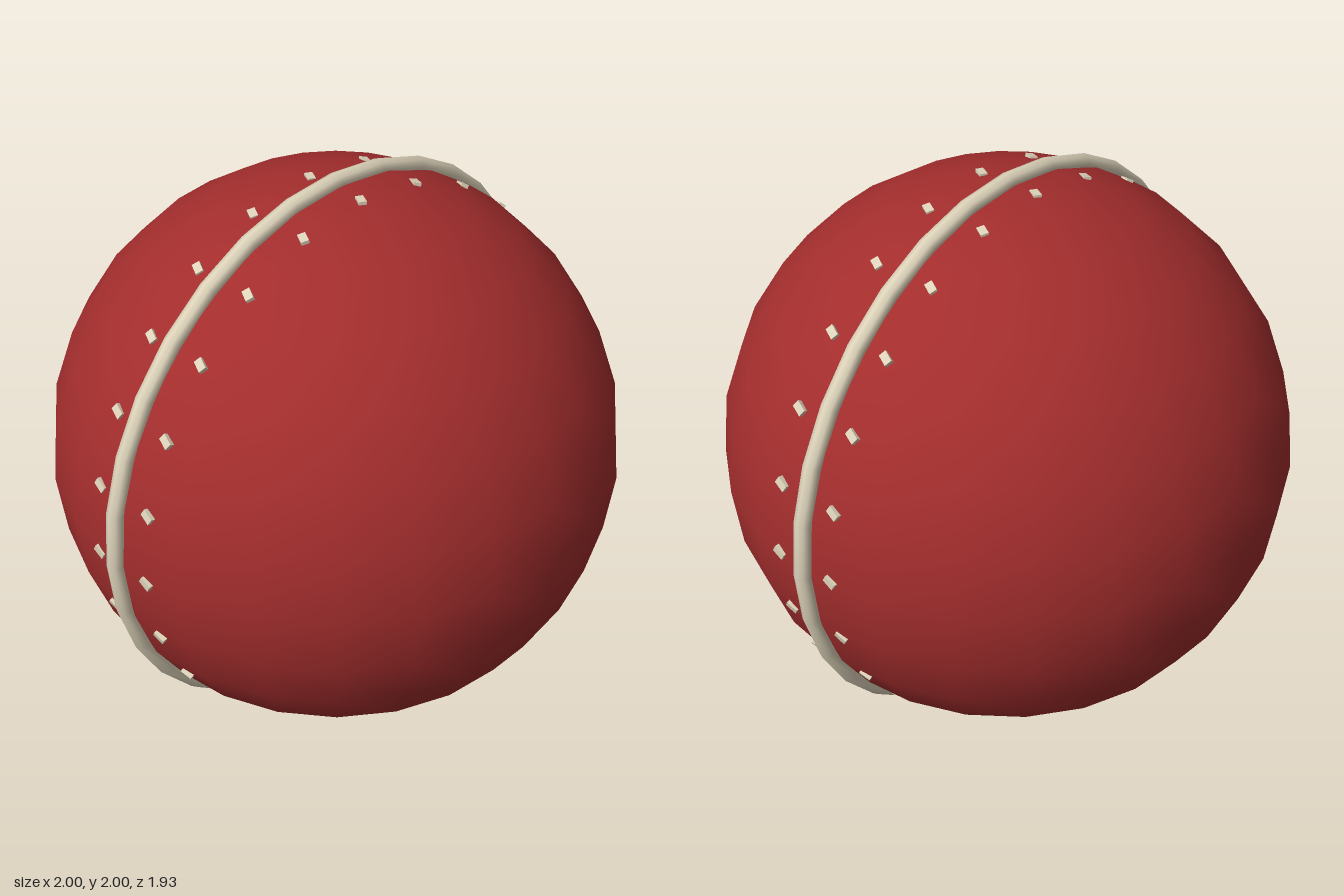
import * as THREE from 'three';

export function createModel() {
  const red = new THREE.MeshStandardMaterial({ color: 0xa32d2d });
  red.name = 'red leather';
  const cream = new THREE.MeshStandardMaterial({ color: 0xdcd2b9 });
  cream.name = 'cream thread';

  const model = new THREE.Group();
  model.name = 'ball';

  const add = (name, geometry, material, parent = model) => {
    const mesh = new THREE.Mesh(geometry, material);
    mesh.name = name;
    parent.add(mesh);
    return mesh;
  };

  // Leather body and raised seam around it
  add('body', new THREE.SphereGeometry(0.965, 24, 14), red).position.y = 1;
  add('seam', new THREE.TorusGeometry(0.97, 0.03, 8, 32), cream).position.y = 1;

  // Two rows of slanted stitches, one on each side of the seam
  const stitchGeometry = new THREE.BoxGeometry(0.022, 0.026, 0.042);
  const count = 24;
  for (const [name, z] of [['frontStitches', 0.122], ['backStitches', -0.1]]) {
    const row = new THREE.Group();
    row.name = name;
    row.position.set(0, 1, z);
    for (let i = 0; i < count; i++) {
      const spoke = new THREE.Group();
      spoke.name = 'stitchSpoke';
      spoke.rotation.z = (i / count) * Math.PI * 2 + 0.015;
      const stitch = add('stitch', stitchGeometry, cream, spoke);
      stitch.position.x = 0.949;
      stitch.rotation.x = -0.5;
      row.add(spoke);
    }
    model.add(row);
  }
  return model;
}
